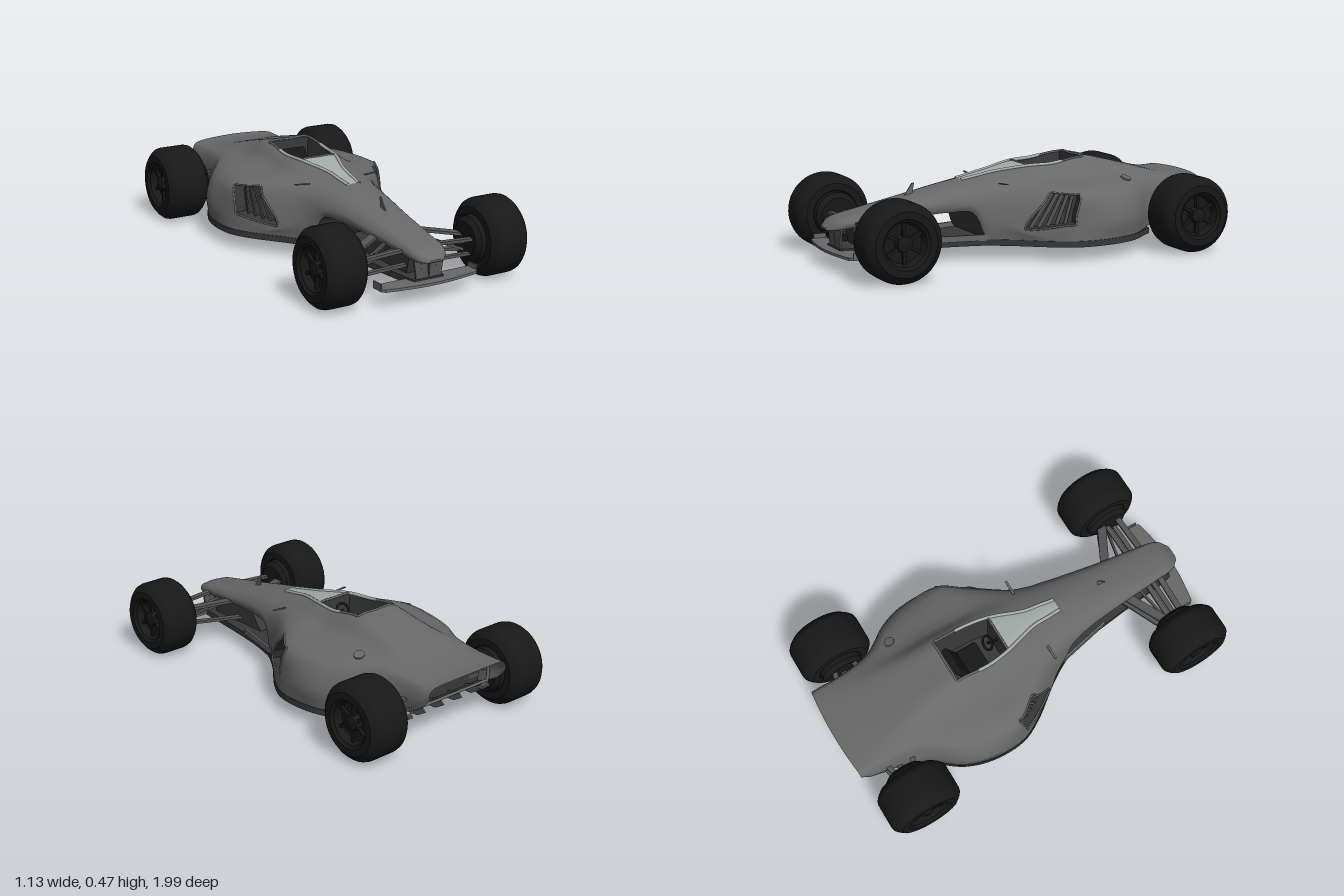
import * as THREE from 'three';
import { toCreasedNormals } from 'three/addons/utils/BufferGeometryUtils.js';
import { RoundedBoxGeometry } from 'three/addons/geometries/RoundedBoxGeometry.js';

const mat = (color) => new THREE.MeshStandardMaterial({ color, side: THREE.DoubleSide });
const PAINT = mat(0x686868), DARK = mat(0x383838), BLACK = mat(0x181818), PALE = mat(0xa4acaa), METAL = mat(0x555555);
const V = (x, y, z) => new THREE.Vector3(x, y, z);
const { lerp } = THREE.MathUtils;

// Body stations, nose to tail: z, roof y, roof half width, shoulder half width, pod x, pod y, sill x, sill y
const STATIONS = [
  [0.985, 0.205, 0.02, 0.038, 0.045, 0.195, 0.04, 0.185],
  [0.94, 0.238, 0.045, 0.075, 0.085, 0.21, 0.075, 0.188],
  [0.8, 0.27, 0.055, 0.088, 0.105, 0.235, 0.095, 0.205],
  [0.6, 0.311, 0.06, 0.1, 0.125, 0.26, 0.117, 0.225],
  [0.4, 0.354, 0.05, 0.115, 0.15, 0.29, 0.145, 0.24],
  [0.28, 0.38, 0.032, 0.127, 0.17, 0.3, 0.173, 0.232],
  [0.21, 0.393, 0.038, 0.135, 0.185, 0.305, 0.2, 0.1],
  [0.12, 0.41, 0.046, 0.15, 0.215, 0.32, 0.255, 0.1],
  [-0.06, 0.436, 0.1, 0.19, 0.33, 0.33, 0.39, 0.1],
  [-0.18, 0.441, 0.118, 0.2, 0.41, 0.322, 0.447, 0.1],
  [-0.36, 0.464, 0.115, 0.2, 0.395, 0.32, 0.45, 0.1],
  [-0.5, 0.436, 0.12, 0.2, 0.355, 0.32, 0.405, 0.1],
  [-0.65, 0.4, 0.13, 0.2, 0.27, 0.33, 0.298, 0.11],
  [-0.8, 0.362, 0.14, 0.2, 0.245, 0.325, 0.26, 0.16],
  [-0.93, 0.346, 0.14, 0.2, 0.24, 0.325, 0.255, 0.225],
  [-1.0, 0.348, 0.14, 0.2, 0.237, 0.328, 0.245, 0.28],
];
const RS = 6, CS = 4, ROWS = (STATIONS.length - 1) * RS, COLS = 10 * CS;
// Station numbers where the body is divided
const SCREEN = 5, COCKPIT = 8, HOOP = 10, FLOOR_END = 12, TAIL = 13;

// Half section from roof edge to sill; the flank tucks in and forward at the intake, the tail edge bows
function halfSection([z, roof, roofX, shoulderX, podX, podY, sillX, sillY]) {
  const tuck = 0.13 * Math.exp(-(((z + 0.03) / 0.13) ** 2));
  const bow = z < -0.95 ? 0.27 : 0;
  return [
    [roofX, roof - 0.004, 0],
    [shoulderX, lerp(podY, roof, 0.72 - 0.7 * podX), 0],
    [podX, podY, 0],
    [sillX + 0.008 - 0.75 * tuck, lerp(sillY, podY, 0.42 - 1.5 * tuck), tuck],
    [sillX, sillY, 0],
  ].map(([x, y, dz]) => V(x, y, z + dz + bow * x * x));
}

// Smooth grid through the stations; rows run nose to tail, columns right sill to left sill
function bodyGrid() {
  const full = STATIONS.map((station) => {
    const left = halfSection(station);
    const right = left.map((p) => V(-p.x, p.y, p.z)).reverse();
    return [...right, V(0, station[1], station[0]), ...left];
  });
  const rails = full[0].map((_, i) => new THREE.CatmullRomCurve3(full.map((s) => s[i])));
  return Array.from({ length: ROWS + 1 }, (_, r) => {
    const section = new THREE.CatmullRomCurve3(rails.map((c) => c.getPoint(r / ROWS)));
    return Array.from({ length: COLS + 1 }, (_, c) => section.getPoint(c / COLS));
  });
}

function surface(grid, keep) {
  const index = [], n = grid[0].length;
  for (let r = 0; r < grid.length - 1; r++) for (let c = 0; c < n - 1; c++) {
    if (!keep(r, c)) continue;
    const a = r * n + c, d = a + n;
    index.push(a, a + 1, d, a + 1, d + 1, d);
  }
  const g = new THREE.BufferGeometry().setFromPoints(grid.flat());
  g.setIndex(index);
  g.computeVertexNormals();
  return g;
}

// Walls running from a closed loop to its moved copy, closed by a fan
function pocket(loop, move) {
  const inner = loop.map(move);
  const centre = inner.reduce((s, p) => s.add(p), V(0, 0, 0)).divideScalar(inner.length);
  const pts = [];
  loop.forEach((a, i) => {
    const j = (i + 1) % loop.length;
    pts.push(a, loop[j], inner[i], loop[j], inner[j], inner[i], inner[i], inner[j], centre);
  });
  const g = new THREE.BufferGeometry().setFromPoints(pts);
  g.computeVertexNormals();
  return g;
}

const extrude = (pts, depth) => new THREE.ExtrudeGeometry(
  new THREE.Shape(pts.map(([x, y]) => new THREE.Vector2(x, y))), { depth, bevelEnabled: false });
// Flat plate from half an outline of [x, z], mirrored across the middle
const plate = (half, top, thick) => extrude([...half, ...half.map(([x, z]) => [-x, z]).reverse()], thick)
  .rotateX(Math.PI / 2).translate(0, top, 0);
// Upright slab from a side outline of [z, y], centred on x = 0
const slab = (side, width) => extrude(side, width).rotateY(-Math.PI / 2).translate(width / 2, 0, 0);

export function createModel() {
  const model = new THREE.Group();
  const add = (name, geo, material, parent = model) => {
    const m = new THREE.Mesh(geo, material);
    m.name = name;
    parent.add(m);
    return m;
  };
  const box = (name, w, h, d, x, y, z, material, parent) => {
    const m = add(name, new THREE.BoxGeometry(w, h, d), material, parent);
    m.position.set(x, y, z);
    return m;
  };
  const bar = (name, a, b, w, h, material = METAL) => {
    const m = box(name, w, h, a.distanceTo(b), 0, 0, 0, material);
    m.position.copy(a).lerp(b, 0.5);
    m.lookAt(b);
  };
  const tube = (name, pts, r, material, closed = false) => add(name,
    new THREE.TubeGeometry(new THREE.CatmullRomCurve3(pts, closed), 80, r, 8, closed), material);

  // Body shell, with the cockpit and intakes left open and the windscreen split off
  const grid = bodyGrid();
  const kind = (r, c) => {
    const s = Math.floor(r / RS), k = Math.floor(c / CS);
    const middle = k === 4 || k === 5;
    if (middle && s >= SCREEN && s < COCKPIT) return 'screen';
    return (middle && s >= COCKPIT && s < HOOP) || (s === COCKPIT && (k === 1 || k === 8)) ? 'hole' : 'shell';
  };
  add('bodyShell', surface(grid, (r, c) => kind(r, c) === 'shell'), PAINT);
  add('windscreen', surface(grid, (r, c) => kind(r, c) === 'screen'), PALE);
  add('noseCap', pocket(grid[0], (p) => V(p.x * 0.7, 0.195 + (p.y - 0.195) * 0.5, p.z + 0.006)), PAINT);
  const tailRow = grid[TAIL * RS + 3];
  const under = grid.slice(0, TAIL * RS + 4).map((row) => [row[COLS], row[0]]);
  add('underside', surface(under, () => true), DARK);
  add('rearBulkhead', pocket(grid[TAIL * RS], (p) => p.clone()), DARK);

  const loopOf = (r0, r1, c0, c1) => {
    const pts = [];
    for (let c = c0; c < c1; c++) pts.push(grid[r0][c]);
    for (let r = r0; r < r1; r++) pts.push(grid[r][c1]);
    for (let c = c1; c > c0; c--) pts.push(grid[r1][c]);
    for (let r = r1; r > r0; r--) pts.push(grid[r][c0]);
    return pts;
  };

  // Cockpit
  const mouth = loopOf(COCKPIT * RS, HOOP * RS, 4 * CS, 6 * CS);
  add('cockpitTub', pocket(mouth, (p) => V(p.x * 0.85, 0.24, p.z * 0.92 - 0.015)), DARK);
  tube('cockpitRim', mouth, 0.006, PAINT, true);
  for (const c of [4 * CS, 6 * CS])
    tube('screenFrame', grid.slice(SCREEN * RS, (COCKPIT + 1) * RS + 3).map((row) => row[c]), 0.009, PALE);
  const seat = add('seatBack', new RoundedBoxGeometry(0.15, 0.17, 0.035, 3, 0.015), BLACK);
  seat.position.set(0, 0.34, -0.3);
  seat.rotation.x = -0.35;
  add('seatCushion', new RoundedBoxGeometry(0.15, 0.04, 0.14, 3, 0.015), BLACK).position.set(0, 0.265, -0.22);
  const wheelRim = add('steeringWheel', new THREE.TorusGeometry(0.036, 0.006, 8, 24), BLACK);
  wheelRim.position.set(0, 0.385, -0.12);
  wheelRim.rotation.x = 0.5;
  bar('steeringColumn', V(0, 0.385, -0.12), V(0, 0.35, -0.06), 0.012, 0.012, BLACK);

  // Floor following the sills, front wing and nose details
  const sill = grid.slice(RS, FLOOR_END * RS + 1).map((row) => [row[COLS].x + 0.004, row[COLS].z]);
  add('floor', plate(sill, 0.1, 0.03), DARK);
  add('frontWing', plate([[0.03, 0.992], [0.1, 0.987], [0.2, 0.972], [0.25, 0.962], [0.265, 0.945], [0.265, 0.88], [0.1, 0.88]], 0.092, 0.013), PAINT);
  add('keel', slab([[0.46, 0.1], [0.84, 0.1], [0.87, 0.21], [0.56, 0.23]], 0.12), DARK);
  add('noseFin', slab([[0.575, 0.31], [0.53, 0.375], [0.518, 0.375], [0.53, 0.32]], 0.006), PAINT);

  // Rear grille, lip and diffuser fins
  for (const x of [-0.07, 0, 0.07]) {
    box('exhaustPanel', 0.05, 0.09, 0.01, x, 0.27, -0.812, METAL);
    for (let i = 0; i < 4; i++) box('exhaustSlat', 0.038, 0.006, 0.016, x, 0.24 + i * 0.02, -0.815, BLACK);
  }
  for (const x of [-0.18, -0.06, 0.06, 0.18])
    add('diffuserFin', slab([[-0.68, 0.125], [-0.84, 0.135], [-0.89, 0.165], [-0.86, 0.19], [-0.8, 0.17]], 0.008).translate(x, 0, 0), METAL);
  const lip = [0, COLS].map((c) => tailRow[c]);
  tube('rearLip', [lip[0], lip[0].clone().lerp(lip[1], 0.5), lip[1]], 0.007, PAINT);
  tube('tailRim', tailRow.map((p) => V(p.x * 0.97, p.y - 0.012, p.z)), 0.008, PAINT);
  const cap = add('fuelCap', new THREE.CylinderGeometry(0.026, 0.026, 0.008, 24), PAINT);
  cap.position.set(0.265, 0.36, -0.53);
  cap.rotation.set(-0.2, 0, -0.35);

  // Mirrored parts
  for (const s of [-1, 1]) {
    const [c0, c1] = s < 0 ? [CS, 2 * CS] : [8 * CS, 9 * CS];
    const inlet = loopOf(COCKPIT * RS, (COCKPIT + 1) * RS, c0, c1);
    add('intakeDuct', pocket(inlet, (p) => V(p.x - s * 0.07, p.y, p.z - 0.02)), DARK);
    tube('intakeRim', inlet, 0.005, PAINT, true);
    for (let r = COCKPIT * RS + 1; r < (COCKPIT + 1) * RS; r++) {
      const inset = (p) => V(p.x - s * 0.045, p.y, p.z - 0.01);
      bar('intakeVane', inset(grid[r][c0]), inset(grid[r][c1]), 0.006, 0.02);
    }
    bar('floorRail', V(s * 0.195, 0.11, 0.21), V(s * 0.13, 0.11, 0.5), 0.012, 0.03, PAINT);
    box('wingEndPlate', 0.007, 0.035, 0.065, s * 0.262, 0.097, 0.912, PAINT);
    for (const x of [0.025, 0.065]) bar('wingStrut', V(s * x, 0.2, 0.93), V(s * x * 0.75, 0.085, 0.93), 0.01, 0.035);
    bar('sideBlade', V(s * 0.16, 0.365, 0.13), V(s * 0.24, 0.371, 0.13), 0.012, 0.004, PAINT);

    // Front wishbones and rear links
    const arm = (name, a, b, w) => bar(name, V(s * a[0], a[1], a[2]), V(s * b[0], b[1], b[2]), w, 0.014);
    arm('upperFrontArm', [0.08, 0.22, 0.85], [0.33, 0.205, 0.845], 0.03);
    arm('upperRearArm', [0.1, 0.235, 0.64], [0.33, 0.205, 0.765], 0.045);
    arm('steeringLink', [0.06, 0.2, 0.78], [0.33, 0.175, 0.785], 0.025);
    arm('lowerFrontArm', [0.04, 0.14, 0.83], [0.33, 0.13, 0.83], 0.025);
    arm('lowerRearArm', [0.05, 0.13, 0.63], [0.33, 0.13, 0.755], 0.03);
    arm('pushRod', [0.09, 0.225, 0.72], [0.32, 0.13, 0.79], 0.012);
    for (const y of [0.25, 0.15]) for (const z of [-0.7, -0.85])
      arm('rearLink', [0.23, y, z], [0.35, y - 0.015, z * 0.5 - 0.39], 0.025);
    arm('driveShaft', [0.2, 0.195, -0.785], [0.36, 0.19, -0.785], 0.03);

    // Wheels
    for (const [name, x, z, w] of [['frontWheel', 0.443, 0.797, 0.106], ['rearWheel', 0.453, -0.783, 0.113]]) {
      const wheel = new THREE.Group();
      wheel.name = name;
      wheel.position.set(s * x, 0.191, z);
      if (s < 0) wheel.rotation.y = Math.PI;
      model.add(wheel);
      const lathe = (part, pts) => add(part, toCreasedNormals(new THREE.LatheGeometry(
        pts.map(([r, y]) => new THREE.Vector2(r, y)), 48).rotateZ(-Math.PI / 2), 0.6), BLACK, wheel);
      const wall = [[0.11, w - 0.01], [0.118, w], [0.152, w], [0.174, w - 0.018], [0.187, w - 0.034], [0.191, w - 0.05]];
      lathe('tyre', [...wall.map(([r, y]) => [r, -y]), ...wall.reverse()]);
      lathe('rim', [[0.11, w - 0.01], [0.104, w - 0.012], [0.092, w - 0.05], [0.04, w - 0.055], [0.036, w - 0.02], [0.018, w - 0.015], [0, w - 0.015]]);
      lathe('brakeDrum', [[0, -w - 0.04], [0.085, -w - 0.04], [0.11, -w - 0.02], [0.115, -w + 0.012]]);
      for (let i = 0; i < 6; i++) {
        const a = (i / 6) * Math.PI * 2;
        box('spoke', 0.015, 0.068, 0.016, w - 0.038, Math.cos(a) * 0.065, Math.sin(a) * 0.065, BLACK, wheel).rotation.x = a;
      }
    }
  }
  return model;
}
